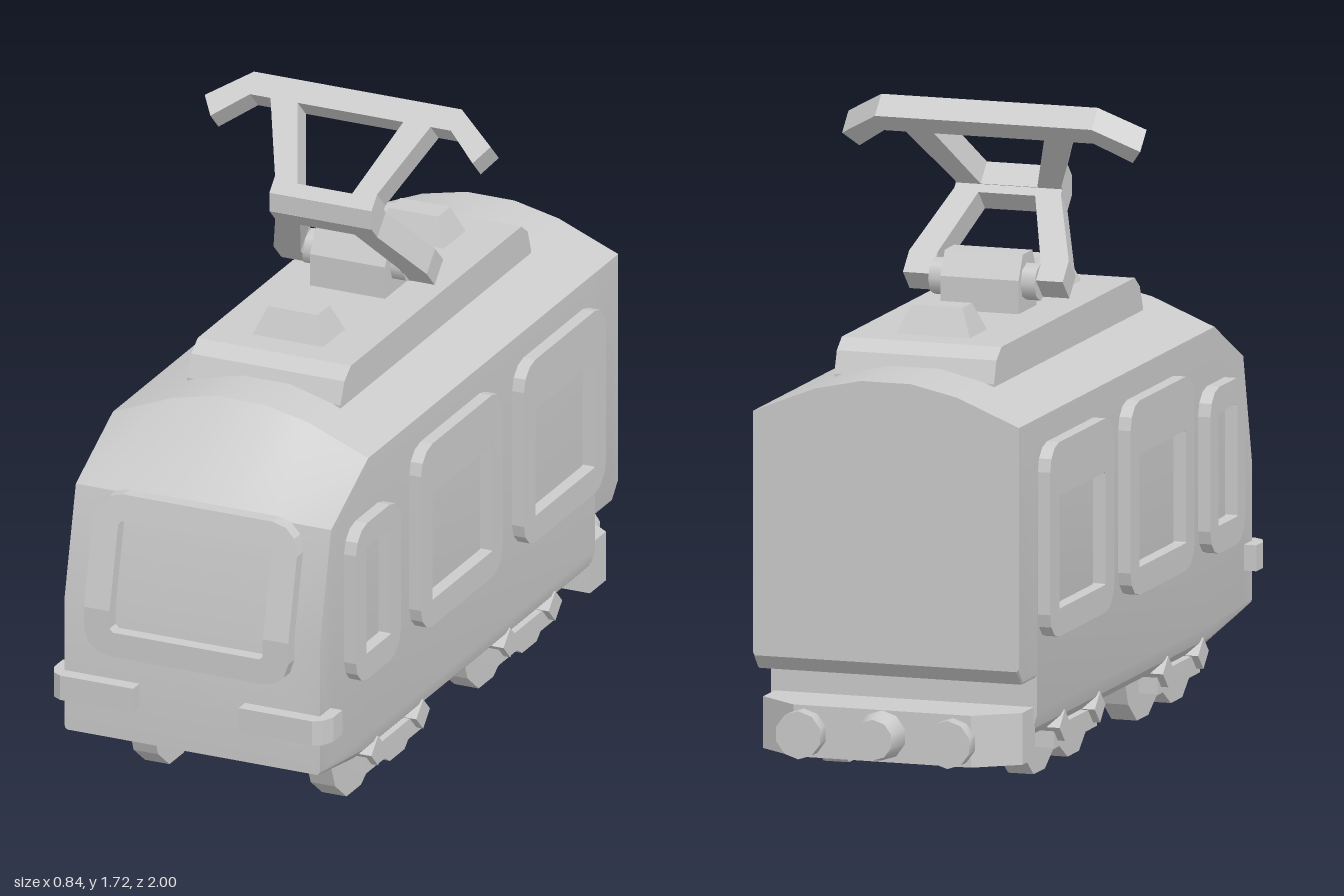
import * as THREE from 'three';
import { toCreasedNormals } from 'three/addons/utils/BufferGeometryUtils.js';

const grey = new THREE.MeshStandardMaterial({ color: 0xcccccc });

function add(parent, name, geometry, x = 0, y = 0, z = 0) {
  const mesh = new THREE.Mesh(geometry, grey);
  mesh.name = name;
  mesh.position.set(x, y, z);
  parent.add(mesh);
  return mesh;
}

const shapeOf = (pts) => new THREE.Shape(pts.map(([x, y]) => new THREE.Vector2(x, y)));
const extrude = (shape, depth) => new THREE.ExtrudeGeometry(shape, { depth, bevelEnabled: false, curveSegments: 4 });
const mirrored = (half) => [...half, ...half.map(([x, y]) => [-x, y]).reverse()];

// Profile given as [z, y], extruded across x0..x1
function sideExtrude(pts, x0, x1) {
  const g = extrude(shapeOf(pts.map(([z, y]) => [-z, y])), x1 - x0);
  return g.rotateY(Math.PI / 2).translate(x0, 0, 0);
}

// Plan given as [x, z], extruded over y0..y1
function planExtrude(pts, y0, y1) {
  const g = extrude(shapeOf(pts.map(([x, z]) => [x, -z])), y1 - y0);
  return g.rotateX(-Math.PI / 2).translate(0, y0, 0);
}

// Rectangle with corners cut by two short facets
function softRect(x0, x1, y0, y1, r) {
  const pts = [];
  [[x1 - r, y0 + r, -90], [x1 - r, y1 - r, 0], [x0 + r, y1 - r, 90], [x0 + r, y0 + r, 180]].forEach(([cx, cy, a]) => {
    for (const d of [0, 30, 60, 90]) {
      const t = THREE.MathUtils.degToRad(a + d);
      pts.push([cx + r * Math.cos(t), cy + r * Math.sin(t)]);
    }
  });
  return pts;
}

// Body: loops of [z, floor, floor corner cut, side top, roof ridge]
function bodyGeometry() {
  const stations = [
    [0.96, 0.2, 0.01, 0.58, 0.58], [0.89, 0.184, 0.02, 0.88, 0.88],
    [0.66, 0.13, 0.06, 1.0, 1.105], [-0.75, 0.13, 0.06, 1.0, 1.105],
    [-0.75, 0.3, 0.01, 1.0, 1.105], [-0.86, 0.3, 0.01, 1.0, 1.105], [-0.895, 0.34, 0.01, 1.0, 1.105],
  ];
  const loops = stations.map(([z, b, c, s, r]) => mirrored([
    [0.375 - c * 0.7, b], [0.375 - c * 0.2, b + c * 0.5], [0.375, b + c * 1.2], [0.375, s],
    [0.2, s + (r - s) * 0.68], [0.07, s + (r - s) * 0.95],
  ]).map(([x, y]) => [x, y, z]));
  const pos = [];
  const n = loops[0].length;
  for (let i = 0; i < loops.length - 1; i++) {
    for (let j = 0; j < n; j++) {
      const k = (j + 1) % n;
      const [a, b, c, d] = [loops[i][j], loops[i][k], loops[i + 1][j], loops[i + 1][k]];
      pos.push(...a, ...c, ...b, ...b, ...c, ...d);
    }
  }
  const front = loops[0], back = loops[loops.length - 1];
  for (let j = 1; j < n - 1; j++) {
    pos.push(...front[0], ...front[j], ...front[j + 1]);
    pos.push(...back[0], ...back[j + 1], ...back[j]);
  }
  const g = new THREE.BufferGeometry();
  g.setAttribute('position', new THREE.Float32BufferAttribute(pos, 3));
  return toCreasedNormals(g, 0.45);
}

// Half of the windscreen frame, leaned to follow the nose
function leanFrame(pts, lean) {
  const g = extrude(shapeOf(pts), 0.04);
  const p = g.attributes.position;
  for (let i = 0; i < p.count; i++) p.setZ(i, p.getZ(i) + 0.958 - lean * (p.getY(i) - 0.58));
  g.computeVertexNormals();
  return g;
}

function vent() {
  const g = new THREE.BoxGeometry(0.22, 0.09, 0.15);
  const p = g.attributes.position;
  for (let i = 0; i < p.count; i++) {
    if (p.getY(i) > 0) p.setXYZ(i, p.getX(i) * 0.66, p.getY(i), p.getZ(i) * 0.5);
  }
  g.computeVertexNormals();
  return g;
}

export function createModel() {
  const model = new THREE.Group();
  model.name = 'railcar';
  add(model, 'body', bodyGeometry());

  // Side windows: [z centre, half width, top, inner half width]
  const windows = [[0.67, 0.14, 0.85, 0.075], [0.15, 0.255, 0.925, 0.185], [-0.49, 0.255, 0.925, 0.183]];
  for (const side of [1, -1]) {
    for (const [z, w, top, iw] of windows) {
      const shape = shapeOf(softRect(-w, w, 0.4, top, 0.07));
      shape.holes.push(shapeOf(softRect(-iw, iw, 0.475, 0.78, 0.004)));
      add(model, 'sideWindowFrame', extrude(shape, 0.04).rotateY(side * Math.PI / 2), side * 0.37, 0, z);
    }
  }

  // Windscreen frame, bent where the nose starts to lean
  const windscreen = new THREE.Group();
  windscreen.name = 'windscreenFrame';
  model.add(windscreen);
  add(windscreen, 'upperFrame', leanFrame(mirrored([
    [0.225, 0.58], [0.3, 0.58], [0.3, 0.81], [0.287, 0.855], [0.26, 0.88], [0.22, 0.89],
  ]).concat([[-0.225, 0.81], [-0.215, 0.82], [0.215, 0.82], [0.225, 0.81]]), 0.233));
  add(windscreen, 'lowerFrame', leanFrame(mirrored([
    [0.215, 0.52], [0.225, 0.53], [0.225, 0.58], [0.3, 0.58], [0.3, 0.52], [0.287, 0.48], [0.26, 0.458], [0.22, 0.45],
  ]), 0));

  // Corner lamps
  for (const s of [1, -1]) {
    const plan = [[0.155, 0.895], [0.155, 1], [0.37, 1], [0.395, 0.985], [0.41, 0.95], [0.41, 0.895]].map(([x, z]) => [s * x, z]);
    add(model, 'cornerLamp', planExtrude(plan, 0.3, 0.37));
  }

  // Roof deck and vents
  add(model, 'roofDeck', sideExtrude([
    [0.515, 1.0], [0.515, 1.07], [0.49, 1.13], [0.45, 1.16], [-0.61, 1.16], [-0.65, 1.13], [-0.67, 1.07], [-0.67, 1.0],
  ], -0.225, 0.225));
  for (const z of [0.297, -0.452]) add(model, 'roofVent', vent(), 0, 1.19, z);

  // Current collector: base, hinge and two tilted frames meeting at an elbow
  const collector = new THREE.Group();
  collector.name = 'currentCollector';
  model.add(collector);
  add(collector, 'collectorBase', sideExtrude([
    [-0.005, 1.15], [-0.005, 1.25], [-0.04, 1.315], [-0.115, 1.315], [-0.15, 1.25], [-0.15, 1.15],
  ], -0.11, 0.11));
  add(collector, 'hinge', new THREE.CylinderGeometry(0.05, 0.05, 0.3, 8).rotateZ(Math.PI / 2), 0, 1.238, -0.085);
  const lowerArm = shapeOf(mirrored([
    [0.08, 0.27], [0.145, 0.07], [0.145, 0], [0.225, 0], [0.225, 0.07], [0.15, 0.28], [0.15, 0.33],
  ]));
  add(collector, 'lowerArm', extrude(lowerArm, 0.075).translate(0, 0, -0.0375), 0, 1.2225, -0.0975).rotation.x = Math.PI / 4;
  const upperArm = shapeOf(mirrored([
    [0.15, 0], [0.15, 0.05], [0.235, 0.265], [0.295, 0.265], [0.385, 0.185], [0.42, 0.24], [0.305, 0.33],
  ]));
  upperArm.holes.push(shapeOf(mirrored([[0.08, 0.04], [0.155, 0.265]])));
  add(collector, 'upperArm', extrude(upperArm, 0.072).translate(0, 0, -0.036), 0, 1.457, 0.138).rotation.x = -Math.PI / 4;
  add(collector, 'elbow', new THREE.BoxGeometry(0.3, 0.052, 0.05), 0, 1.456, 0.138);

  // Bogies: paired wheels, drum, tie bars and axle caps
  for (const z of [0.4475, -0.375]) {
    const bogie = new THREE.Group();
    bogie.name = 'bogie';
    bogie.position.z = z;
    model.add(bogie);
    const wheels = mirrored([
      [0.28, 0.15], [0.28, 0.13], [0.25, 0.055], [0.18, 0], [0.09, 0], [0.025, 0.04],
    ]);
    add(bogie, 'underframe', sideExtrude(mirrored([[0.23, 0.15], [0.21, 0.1], [0.16, 0.06]]), -0.23, 0.23));
    for (const s of [1, -1]) {
      add(bogie, 'wheelPair', sideExtrude(wheels, -0.036, 0.036), s * 0.26);
      add(bogie, 'tieBar', new THREE.BoxGeometry(0.06, 0.055, 0.34), s * 0.32, 0.1, 0);
      for (const a of [0.14, -0.14]) {
        const cap = add(bogie, 'axleCap', new THREE.BoxGeometry(0.08, 0.06, 0.06), s * 0.33, 0.13, a);
        cap.rotation.x = Math.PI / 4;
      }
    }
  }

  // Rear bumper and buffers
  add(model, 'rearBumper', planExtrude(mirrored([
    [0.365, -0.74], [0.365, -0.84], [0.25, -0.925],
  ]), 0.08, 0.22));
  for (const x of [-0.21, 0, 0.21]) {
    const profile = x === 0
      ? [[0, 0], [0.07, 0], [0.055, 0.09], [0, 0.09]]
      : [[0, 0], [0.035, 0], [0.065, 0.045], [0.065, 0.09], [0, 0.09]];
    const g = new THREE.LatheGeometry(profile.map(([r, h]) => new THREE.Vector2(r, h)), 10);
    add(model, 'buffer', toCreasedNormals(g.rotateX(-Math.PI / 2), 0.7), x, 0.152, -0.91);
  }
  return model;
}
